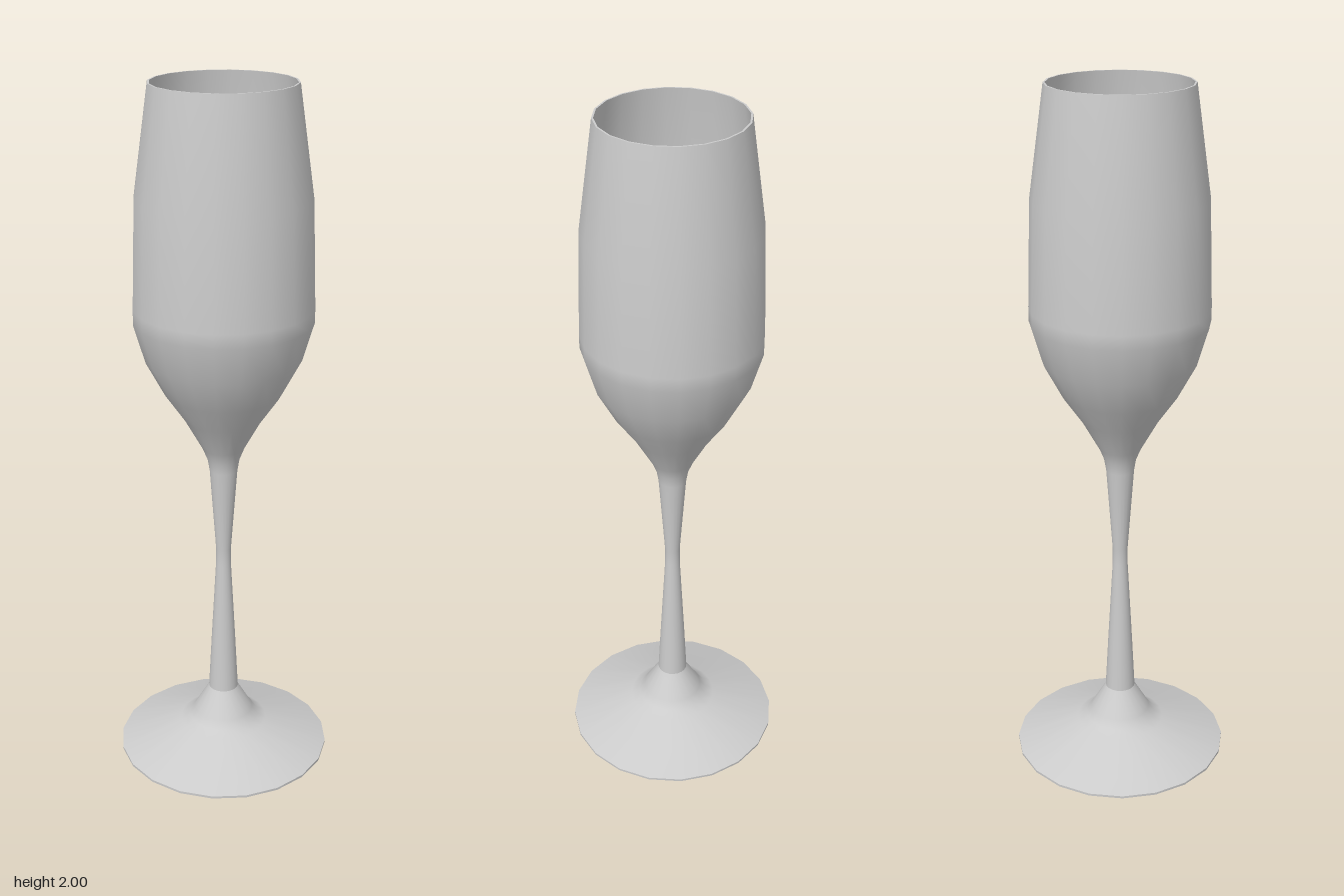
import * as THREE from 'three';

const SIDES = 20;

export function createModel() {
  const glass = new THREE.Group();
  glass.name = 'champagneFlute';
  const material = new THREE.MeshStandardMaterial({ color: 0xcccccc });

  const add = (name, geometry) => {
    const mesh = new THREE.Mesh(geometry, material);
    mesh.name = name;
    glass.add(mesh);
    return mesh;
  };
  // Turned part from [radius, height] pairs
  const turn = (name, profile) =>
    add(name, new THREE.LatheGeometry(profile.map(([r, y]) => new THREE.Vector2(r, y)), SIDES));
  // Flat disc facing up (dir = 1) or down (dir = -1)
  const disc = (name, radius, y, dir) => {
    const geometry = new THREE.CircleGeometry(radius, SIDES);
    geometry.rotateX(-dir * Math.PI / 2).translate(0, y, 0);
    return add(name, geometry);
  };

  // Foot: flat underside, thin edge, sloping top flaring into the stem
  disc('footUnderside', 0.315, 0, -1);
  turn('footEdge', [[0.315, 0], [0.315, 0.007]]);
  turn('footTop', [[0.315, 0.007], [0.13, 0.077], [0.105, 0.092], [0.088, 0.114], [0.044, 0.19]]);

  // Stem with a narrow waist, and the outside of the bowl in one smooth sweep
  turn('stemAndBowl', [
    [0.044, 0.19], [0.036, 0.35], [0.022, 0.61], [0.022, 0.66], [0.04, 0.91],
    [0.046, 0.945], [0.06, 0.98], [0.11, 1.07], [0.165, 1.15], [0.218, 1.25],
    [0.25, 1.36], [0.25, 1.4], [0.24, 1.7], [0.198, 2],
  ]);

  // Rim and hollow inside of the bowl
  turn('rim', [[0.198, 2], [0.193, 2]]);
  turn('bowlInside', [
    [0.193, 2], [0.234, 1.7], [0.243, 1.4], [0.243, 1.36],
    [0.211, 1.253], [0.158, 1.154], [0.1, 1.075],
  ]);
  disc('bowlFloor', 0.1, 1.075, 1);

  return glass;
}
